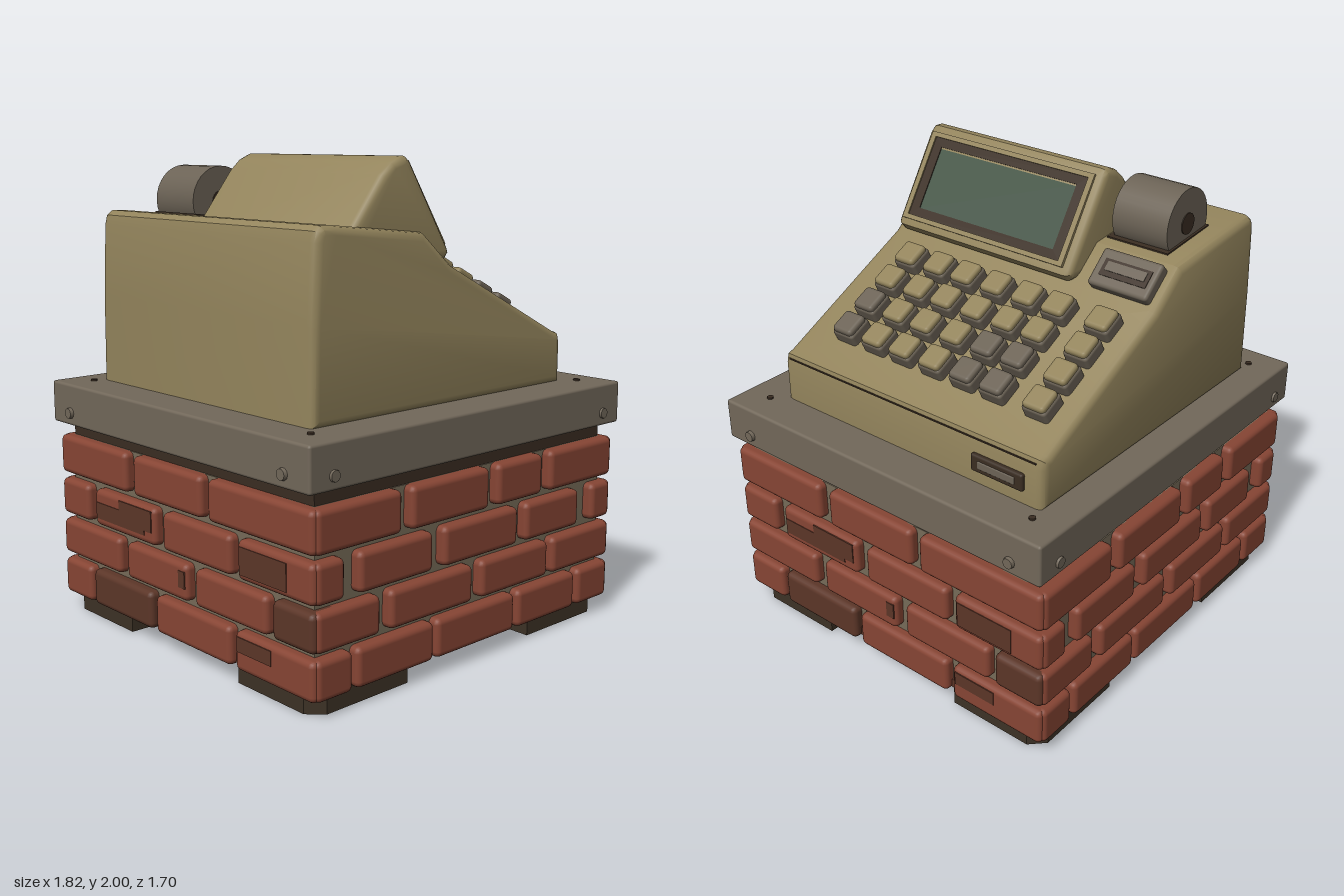
import * as THREE from 'three';
import { toCreasedNormals } from 'three/addons/utils/BufferGeometryUtils.js';
import { RoundedBoxGeometry } from 'three/addons/geometries/RoundedBoxGeometry.js';

const COLORS = {
  casing: 0x93845c, brick: 0x874534, wornBrick: 0x5c3628, mortar: 0x766b58, slab: 0x72685a,
  greyPlastic: 0x6c6356, darkTrim: 0x3a2d22, screen: 0x435445, foot: 0x3d3226,
};

export function createModel() {
  const model = new THREE.Group();
  model.name = 'cashRegisterOnBrickPlinth';
  const mat = {};
  for (const [name, color] of Object.entries(COLORS)) {
    mat[name] = new THREE.MeshStandardMaterial({ color });
    mat[name].name = name;
  }

  const add = (parent, name, geometry, material, x = 0, y = 0, z = 0) => {
    const mesh = new THREE.Mesh(geometry, material);
    mesh.name = name;
    mesh.position.set(x, y, z);
    parent.add(mesh);
    return mesh;
  };
  const rounded = (w, h, d, r) => new RoundedBoxGeometry(w, h, d, 2, r);
  const group = (name, parent = model) => {
    const g = new THREE.Group();
    g.name = name;
    parent.add(g);
    return g;
  };
  // Group whose local z is a normal tilted up from +x, local x runs to -z
  const tilted = (name, angle, x, y, z) => {
    const g = group(name);
    g.position.set(x, y, z);
    g.rotation.set(0, Math.PI / 2, angle, 'ZYX');
    return g;
  };
  // Side profile extruded along z with rounded rims
  const profileSolid = (points, z0, z1, bevel) => {
    const shape = new THREE.Shape(points.map(p => new THREE.Vector2(...p)));
    const geo = new THREE.ExtrudeGeometry(shape, {
      depth: z1 - z0 - 2 * bevel, bevelEnabled: true, bevelSize: bevel,
      bevelThickness: bevel, bevelOffset: -bevel, bevelSegments: 3,
    });
    geo.translate(0, 0, z0 + bevel);
    return toCreasedNormals(geo, 0.6);
  };
  const rectPath = (Type, w, h) => {
    const p = new Type();
    p.moveTo(-w / 2, -h / 2);
    p.lineTo(w / 2, -h / 2);
    p.lineTo(w / 2, h / 2);
    p.lineTo(-w / 2, h / 2);
    p.closePath();
    return p;
  };
  const ring = (w, h, innerW, innerH, depth) => {
    const shape = rectPath(THREE.Shape, w, h);
    shape.holes.push(rectPath(THREE.Path, innerW, innerH));
    return new THREE.ExtrudeGeometry(shape, { depth, bevelEnabled: false });
  };

  // Corner feet with the inner corner cut off
  for (const sx of [-1, 1]) for (const sz of [-1, 1]) {
    const pts = [[0.84, 0.74], [0.78, 0.80], [0.36, 0.80], [0.36, 0.52], [0.53, 0.36], [0.84, 0.36]];
    const shape = new THREE.Shape(pts.map(([x, z]) => new THREE.Vector2(x * sx, -z * sz)));
    const foot = add(model, 'foot', new THREE.ExtrudeGeometry(shape, { depth: 0.1, bevelEnabled: false }), mat.foot);
    foot.rotation.x = -Math.PI / 2;
  }

  // Plinth core
  add(model, 'mortarCore', new THREE.BoxGeometry(1.66, 0.68, 1.58), mat.mortar, 0, 0.45, 0);
  add(model, 'plinthUnderside', new THREE.BoxGeometry(1.68, 0.04, 1.6), mat.wornBrick, 0, 0.1, 0);
  add(model, 'shadowCourse', new THREE.BoxGeometry(1.65, 0.07, 1.57), mat.darkTrim, 0, 0.82, 0);

  // Brick courses: [bottom, top, joints as pairs of start and end]
  const longWall = [
    [0.07, 0.23, [[-0.86, -0.68], [-0.66, -0.25], [-0.235, 0.23], [0.25, 0.63], [0.65, 0.86]]],
    [0.255, 0.41, [[-0.86, -0.54], [-0.49, -0.03], [0.02, 0.44], [0.47, 0.86]]],
    [0.435, 0.595, [[-0.86, -0.72], [-0.65, -0.26], [-0.2, 0.24], [0.29, 0.64], [0.73, 0.86]]],
    [0.62, 0.79, [[-0.86, -0.43], [-0.38, 0.06], [0.11, 0.39], [0.44, 0.86]]],
  ];
  const shortWall = [
    [0.07, 0.23, [[-0.83, -0.62], [-0.6, -0.17, 1], [-0.14, 0.35], [0.38, 0.83]]],
    [0.255, 0.41, [[-0.83, -0.39], [-0.34, 0.08], [0.13, 0.57], [0.6, 0.83, 1]]],
    [0.435, 0.595, [[-0.83, -0.62], [-0.57, -0.13], [-0.08, 0.36], [0.4, 0.83]]],
    [0.62, 0.79, [[-0.83, -0.33], [-0.28, 0.18], [0.22, 0.83]]],
  ];
  // Worn patches on the short walls: [start, end, bottom, top]
  const patches = [[-0.55, -0.2, 0.47, 0.54], [-0.38, -0.15, 0.49, 0.58], [0.42, 0.69, 0.46, 0.57],
    [0.03, 0.07, 0.31, 0.38], [0.4, 0.6, 0.15, 0.21]];
  for (let i = 0; i < 4; i++) {
    const wall = group('brickWall');
    wall.rotation.y = i * Math.PI / 2;
    const side = i % 2;
    const face = side ? 0.875 : 0.84;
    for (const [y0, y1, bricks] of side ? shortWall : longWall)
      for (const [a, b, worn] of bricks)
        add(wall, 'brick', rounded(b - a, y1 - y0, 0.14, 0.025), worn ? mat.wornBrick : mat.brick,
          (a + b) / 2, (y0 + y1) / 2, face - 0.07);
    if (side) for (const [a, b, y0, y1] of patches)
      add(wall, 'wornPatch', new THREE.BoxGeometry(b - a, y1 - y0, 0.006), mat.wornBrick,
        (a + b) / 2, (y0 + y1) / 2, face);
  }

  // Stone slab with bolts on top and on its edges
  add(model, 'slab', rounded(1.79, 0.18, 1.68, 0.012), mat.slab, 0, 0.94, 0);
  const boltGeo = new THREE.CylinderGeometry(0.022, 0.026, 0.03, 10);
  for (const sx of [-1, 1]) for (const sz of [-1, 1]) {
    add(model, 'topBolt', new THREE.CylinderGeometry(0.014, 0.014, 0.012, 10), mat.darkTrim, sx * 0.77, 1.031, sz * 0.705);
    add(model, 'sideBolt', boltGeo, mat.slab, sx * 0.895, 0.905, sz * 0.7).rotation.z = -sx * Math.PI / 2;
    add(model, 'edgeBolt', boltGeo, mat.slab, sx * 0.78, 0.905, sz * 0.835).rotation.x = sz * Math.PI / 2;
  }

  // Register body: wedge profile facing +x
  add(model, 'body', profileSolid([
    [-0.72, 1.02], [-0.715, 1.4], [-0.70, 1.70], [-0.69, 1.74], [-0.665, 1.76], [-0.60, 1.757],
    [-0.14, 1.71], [0.02, 1.575], [0.675, 1.25], [0.705, 1.24], [0.715, 1.2], [0.715, 1.02],
  ], -0.71, 0.66, 0.035), mat.casing);
  add(model, 'drawerSeam', new THREE.BoxGeometry(0.004, 0.006, 1.3), mat.darkTrim, 0.713, 1.222, -0.025);

  // Drawer latch
  const latch = tilted('drawerLatch', 0, 0.715, 1.125, -0.5);
  add(latch, 'latchRim', rounded(0.25, 0.075, 0.035, 0.01), mat.darkTrim);
  add(latch, 'latchPlate', rounded(0.18, 0.035, 0.02, 0.006), mat.greyPlastic, 0, 0, 0.011);

  // Display housing
  add(model, 'displayHousing', profileSolid([
    [-0.51, 1.70], [-0.33, 1.93], [-0.28, 1.975], [-0.23, 1.997], [-0.2, 1.997], [-0.175, 1.975],
    [0.035, 1.645], [0.045, 1.62], [0.02, 1.59], [-0.1, 1.58], [-0.5, 1.6],
  ], -0.31, 0.62, 0.03), mat.casing);
  const display = tilted('display', 0.578, -0.073, 1.81, 0.16);
  add(display, 'displayRim', ring(0.86, 0.39, 0.81, 0.35, 0.014), mat.casing);
  add(display, 'displayFrame', ring(0.81, 0.35, 0.72, 0.275, 0.008), mat.darkTrim);
  add(display, 'screen', new THREE.BoxGeometry(0.72, 0.275, 0.008), mat.screen);

  // Paper roll
  const roll = group('paperRoll');
  roll.position.set(-0.345, 1.8, -0.47);
  roll.rotation.x = Math.PI / 2;
  add(roll, 'paper', new THREE.CylinderGeometry(0.147, 0.147, 0.26, 32), mat.greyPlastic);
  add(roll, 'rollHub', new THREE.CylinderGeometry(0.045, 0.045, 0.268, 20), mat.darkTrim);
  add(model, 'rollWell', new THREE.BoxGeometry(0.3, 0.008, 0.29), mat.darkTrim, -0.345, 1.733, -0.465).rotation.z = -0.1;

  // Receipt printer slot
  const printer = tilted('receiptPrinter', 0.84, -0.05, 1.65, -0.525);
  add(printer, 'printerPlate', rounded(0.28, 0.165, 0.07, 0.015), mat.greyPlastic);
  add(printer, 'slotRim', new THREE.BoxGeometry(0.22, 0.075, 0.008), mat.darkTrim, 0.005, 0, 0.034);
  add(printer, 'receiptEnd', new THREE.BoxGeometry(0.185, 0.04, 0.008), mat.greyPlastic, 0.005, 0.006, 0.037);

  // Keypad on the slope
  const slope = Math.atan2(0.325, 0.655);
  const greyRows = [-0.35, -0.2, 0.43];
  for (const z of [-0.56, -0.35, -0.2, -0.04, 0.12, 0.27, 0.43])
    [0.16, 0.285, 0.41, 0.535].forEach((x, col) => {
      const key = tilted('key', Math.PI / 2 - slope, x - 0.015, 1.575 - (x - 0.035) * 0.496, z);
      const cap = col > 1 && greyRows.includes(z) ? mat.greyPlastic : mat.casing;
      add(key, 'keyStem', rounded(0.115, 0.115, 0.07, 0.015), mat.greyPlastic, 0, 0, 0.02);
      add(key, 'keyCap', rounded(0.105, 0.105, 0.04, 0.017), cap, 0, 0, 0.056);
    });

  return model;
}
